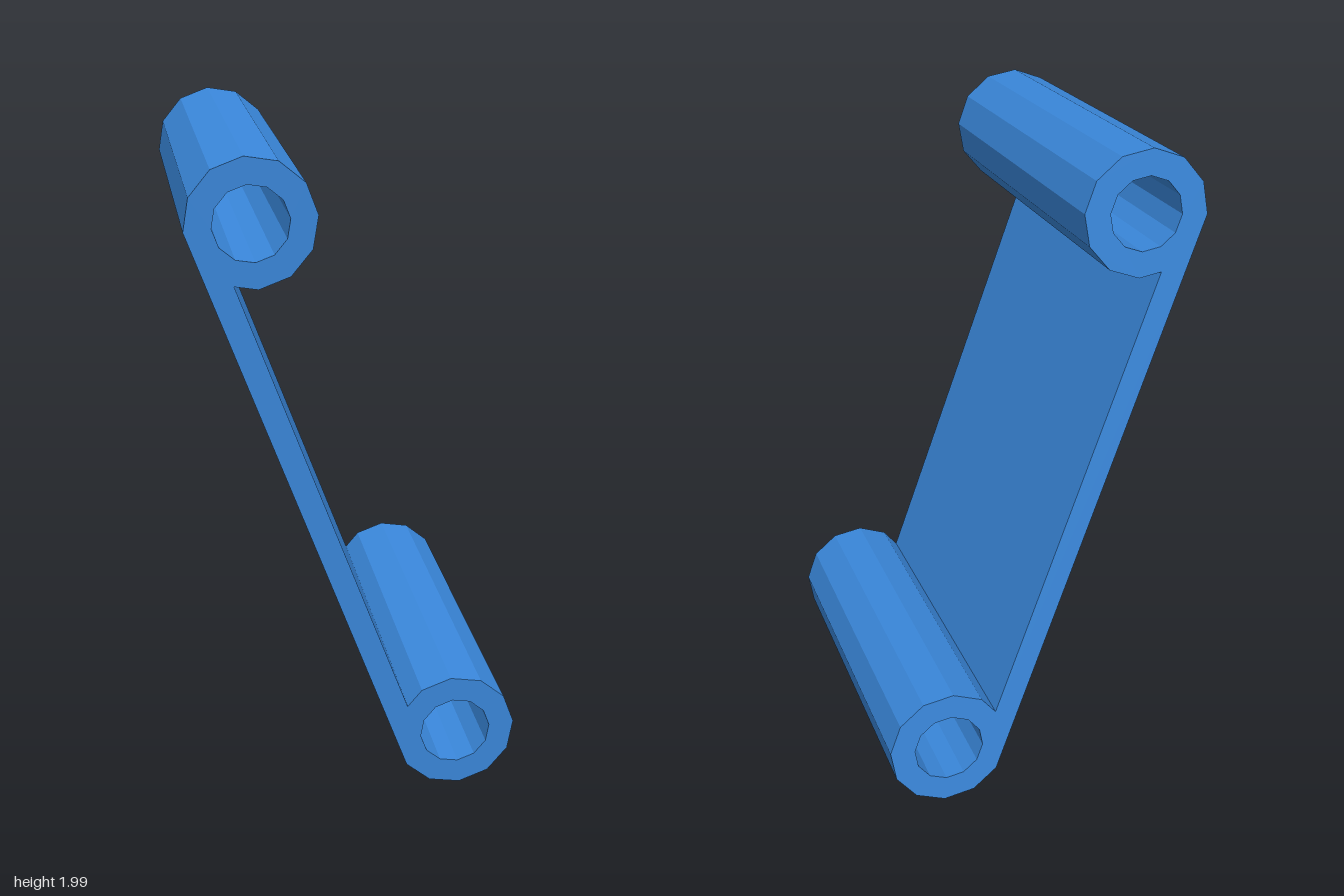
import * as THREE from 'three';

const SIDES = 12;
const OUTER = 0.178, INNER = 0.104; // tube radii to the corners
const LENGTH = 1.124;               // along the tube axis
const SPACING = 1.668;              // between the two tube axes
const FLAT = OUTER * Math.cos(Math.PI / SIDES);
const WALL = 0.069;

// regular polygon with a flat facing +x
function polygon(radius) {
  return Array.from({ length: SIDES }, (_, i) => {
    const a = ((i + 0.5) / SIDES) * Math.PI * 2;
    return new THREE.Vector2(Math.cos(a) * radius, Math.sin(a) * radius);
  });
}

export function createModel() {
  const model = new THREE.Group();
  model.name = 'tiltedLink';
  const material = new THREE.MeshStandardMaterial({ color: 0x3a88dc, flatShading: true });

  const link = new THREE.Group();
  link.name = 'link';
  model.add(link);

  // hollow tubes at both ends
  const ring = new THREE.Shape(polygon(OUTER));
  ring.holes.push(new THREE.Path(polygon(INNER).reverse()));
  const tubeGeometry = new THREE.ExtrudeGeometry(ring, { depth: LENGTH, bevelEnabled: false });
  tubeGeometry.translate(0, 0, -LENGTH / 2);
  for (const [name, side] of [['upperTube', -1], ['lowerTube', 1]]) {
    const tube = new THREE.Mesh(tubeGeometry, material);
    tube.name = name;
    tube.position.y = side * SPACING / 2;
    link.add(tube);
  }

  // flat plate flush with the outer facets of the tubes
  const plate = new THREE.Mesh(new THREE.BoxGeometry(WALL, SPACING, LENGTH), material);
  plate.name = 'connectingPlate';
  plate.position.x = FLAT - WALL / 2;
  link.add(plate);

  // lean the whole link: local z is the tube axis, local y runs from upper to lower tube
  const axis = new THREE.Vector3(0.756, -0.08, 0.65).normalize();
  const down = new THREE.Vector3(0.174, -0.929, -0.327);
  const normal = new THREE.Vector3().crossVectors(down, axis).normalize();
  down.crossVectors(axis, normal);
  link.quaternion.setFromRotationMatrix(new THREE.Matrix4().makeBasis(normal, down, axis));
  link.position.y = 1;
  return model;
}
